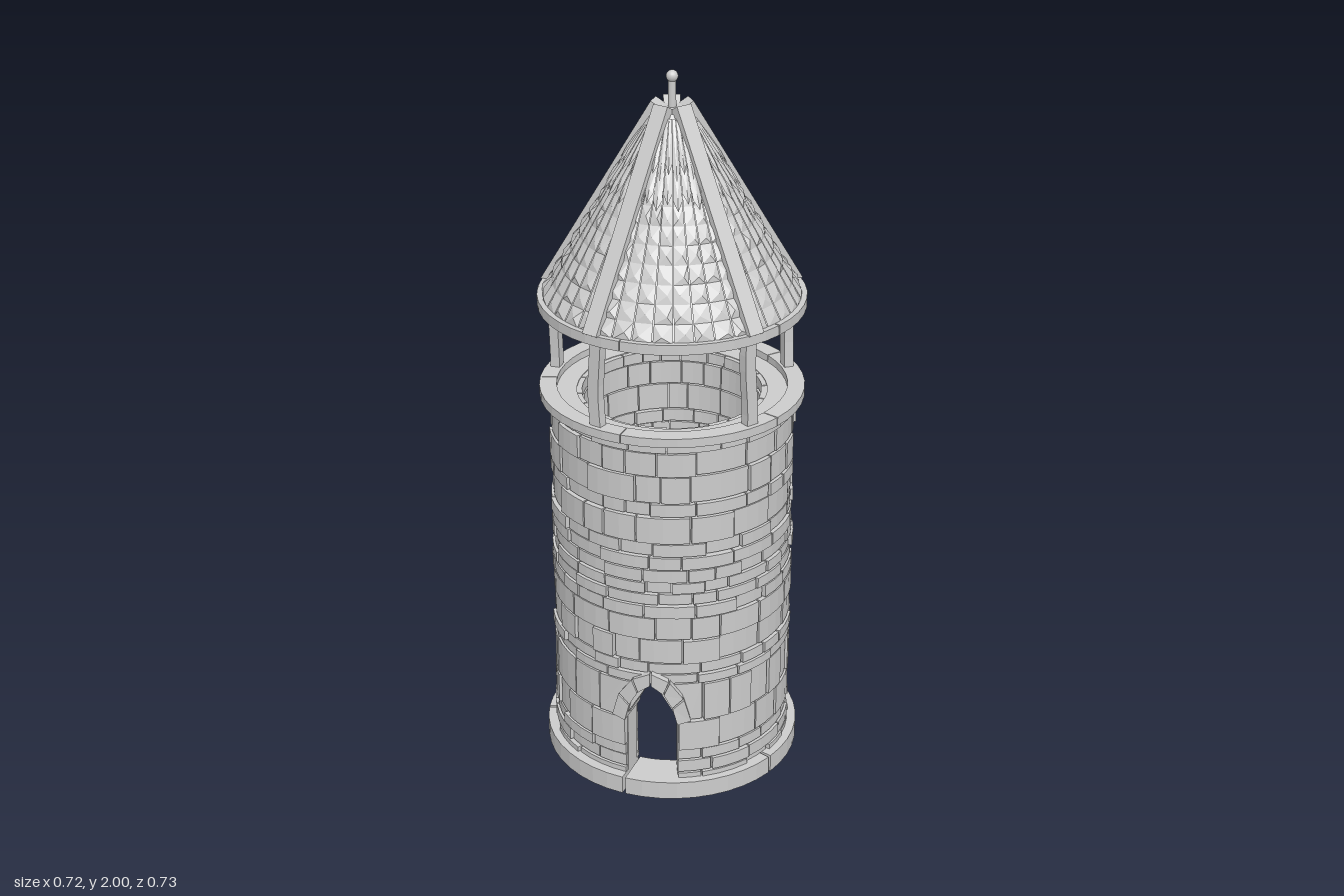
import * as THREE from 'three';
import { mergeGeometries } from 'three/addons/utils/BufferGeometryUtils.js';

const TAU = Math.PI * 2;
const DOOR = -0.12; // angle of the doorway, measured from +z towards +x
const POSTS = Array.from({ length: 5 }, (_, i) => THREE.MathUtils.degToRad(183.5 - 72 * i));
const stone = new THREE.MeshStandardMaterial({ color: 0xcccccc, flatShading: true });
const shell = new THREE.MeshStandardMaterial({ color: 0xcccccc, flatShading: true, side: THREE.DoubleSide });
const smooth = new THREE.MeshStandardMaterial({ color: 0xcccccc });

let seed = 7;
const rand = (a, b) => {
  seed = (seed * 16807) % 2147483647;
  return a + (b - a) * (seed / 2147483647);
};
const polar = (r, a, y) => [r * Math.sin(a), y, r * Math.cos(a)];

function named(name, geometry, material = stone) {
  const m = new THREE.Mesh(geometry, material);
  m.name = name;
  return m;
}

function fromFaces(pos, index) {
  const g = new THREE.BufferGeometry();
  g.setAttribute('position', new THREE.Float32BufferAttribute(pos, 3));
  g.setIndex(index);
  g.computeVertexNormals();
  return g;
}

// Curved block; each end is an angle, or a slanted end {b: bottom, t: top}
function arcBlock(r0, r1, y0, y1, start, end) {
  const s = start.b === undefined ? { b: start, t: start } : start;
  const e = end.b === undefined ? { b: end, t: end } : end;
  const n = Math.max(1, Math.ceil((e.b - s.b) / 0.14));
  const pos = [], idx = [];
  for (let i = 0; i <= n; i++) {
    const b = s.b + ((e.b - s.b) * i) / n, t = s.t + ((e.t - s.t) * i) / n;
    pos.push(...polar(r0, b, y0), ...polar(r1, b, y0), ...polar(r1, t, y1), ...polar(r0, t, y1));
  }
  for (let i = 0; i < n; i++) {
    for (let j = 0; j < 4; j++) {
      const k = (j + 1) % 4, A = i * 4 + j, B = A + 4, C = i * 4 + 4 + k, D = i * 4 + k;
      idx.push(A, B, C, A, C, D);
    }
  }
  const q = n * 4;
  idx.push(0, 1, 2, 0, 2, 3, q, q + 2, q + 1, q, q + 3, q + 2);
  return fromFaces(pos, idx);
}

// Ring of five curved lengths with narrow joints
function segmentedRing(name, r0, r1, y0, y1, gap) {
  const parts = [];
  for (let i = 0; i < 5; i++) {
    const a = THREE.MathUtils.degToRad(197 + 72 * i);
    parts.push(arcBlock(r0, r1, y0, y1, a + gap, a + TAU / 5 - gap));
  }
  return named(name, mergeGeometries(parts));
}

// Half angle of the doorway at a given height
const doorHalf = (y) => (y < 0.245 ? 0.22 : Math.max(0, (0.22 * (0.37 - y)) / 0.13));

function buildWall() {
  const wall = new THREE.Group();
  wall.name = 'towerWall';
  const rows = [0.05, 0.07, 0.11, 0.145, 0.24, 0.36, 0.39, 0.425, 0.5, 0.57, 0.61, 0.645,
    0.68, 0.72, 0.76, 0.8, 0.88, 0.92, 1.0, 1.07, 1.105];
  const core = [];
  for (let i = 0; i + 1 < rows.length; i++) {
    const y0 = rows[i], y1 = rows[i + 1], hb = doorHalf(y0), ht = doorHalf(y1);
    const shift = hb > 0 ? DOOR : rand(0, TAU);
    const start = { b: shift + hb, t: shift + ht };
    const end = { b: shift + TAU - hb, t: shift + TAU - ht };
    core.push(arcBlock(0.26, 0.321, y0, y1, start, end));
    // random stone lengths around the course
    const cuts = [start];
    for (let a = start.b + rand(0.2, 0.45); a < end.b - 0.2; a += rand(0.2, 0.45)) cuts.push({ b: a, t: a });
    cuts.push(end);
    const parts = [];
    for (let k = 0; k + 1 < cuts.length; k++) {
      const g = 0.007, c = cuts[k], d = cuts[k + 1];
      parts.push(arcBlock(rand(0.242, 0.252), rand(0.329, 0.341), y0 + 0.002, y1 - 0.002,
        { b: c.b + g, t: c.t + g }, { b: d.b - g, t: d.t - g }));
    }
    wall.add(named('stoneCourse', mergeGeometries(parts)));
  }
  wall.add(named('mortarCore', mergeGeometries(core)));
  return wall;
}

// Pointed door arch of wedge stones, three to a side
function buildArch() {
  const inner = [[0.215, 0.235], [0.175, 0.29], [0.105, 0.335], [0, 0.362]];
  const outer = [[0.325, 0.245], [0.265, 0.32], [0.15, 0.375], [0, 0.4]];
  const parts = [];
  for (const side of [-1, 1]) {
    for (let i = 0; i < 3; i++) {
      const mix = (p, q, t) => [p[0] + (q[0] - p[0]) * t, p[1] + (q[1] - p[1]) * t];
      const ring = [mix(inner[i], inner[i + 1], 0.04), mix(outer[i], outer[i + 1], 0.04),
        mix(outer[i], outer[i + 1], 0.96), mix(inner[i], inner[i + 1], 0.96)];
      if (side > 0) ring.reverse();
      const pos = [], idx = [0, 1, 2, 0, 2, 3, 4, 6, 5, 4, 7, 6];
      for (const r of [0.24, 0.35]) for (const [a, y] of ring) pos.push(...polar(r, DOOR + side * a, y));
      for (let j = 0; j < 4; j++) {
        const k = (j + 1) % 4;
        idx.push(j, j + 4, k + 4, j, k + 4, k);
      }
      parts.push(fromFaces(pos, idx));
    }
  }
  return named('doorArch', mergeGeometries(parts), shell);
}

// Point on the roof slope: t = 0 at the eaves, 1 at the top, lifted outwards
const roofPoint = (a, t, lift) => polar(0.345 - 0.3 * t + lift * 0.86, a, 1.385 + 0.51 * t + lift * 0.51);

function buildRoof() {
  const roof = new THREE.Group();
  roof.name = 'roof';
  const lining = new THREE.CylinderGeometry(0.043, 0.343, 0.51, 40, 1, true);
  lining.translate(0, 1.64, 0);
  roof.add(named('roofLining', lining, shell));

  const cols = 40, rows = 8, top = 0.68;
  const tile = [], tips = [];
  const addTile = (pts) => { // faceted tile around its raised middle, pts[0]
    const idx = [];
    for (let j = 1; j < pts.length; j++) idx.push(0, j, (j % (pts.length - 1)) + 1);
    return fromFaces(pts.flat(), idx);
  };
  for (let c = 0; c < cols; c++) {
    const w = TAU / cols, a0 = POSTS[0] + c * w + 0.004, a1 = POSTS[0] + (c + 1) * w - 0.004, am = (a0 + a1) / 2;
    // lower slope: columns of shallow pyramids
    for (let r = 0; r < rows; r++) {
      const t0 = (r * top) / rows, t1 = ((r + 1) * top) / rows;
      const bump = rand(0.007, 0.013) * (1 - 0.4 * t0);
      tile.push(addTile([roofPoint(am + rand(-0.2, 0.2) * w, t0 + (t1 - t0) * rand(0.25, 0.5), bump),
        roofPoint(a0, t0, 0.003), roofPoint(a1, t0, 0.003), roofPoint(a1, t1, 0.003), roofPoint(a0, t1, 0.003)]));
    }
    // upper slope: long shingles with pointed, lifted lower ends
    for (const [t0, t1] of [[0.57 + 0.03 * (c % 2), 0.78], [0.7 + 0.03 * (c % 2), 0.98]]) {
      tips.push(addTile([roofPoint(am, t0 + 0.06, 0.012), roofPoint(am, t0, 0.01), roofPoint(a1, t0 + 0.05, 0.008),
        roofPoint(a1, t1, 0.003), roofPoint(a0, t1, 0.003), roofPoint(a0, t0 + 0.05, 0.008)]));
    }
  }
  roof.add(named('roofTiles', mergeGeometries(tile), shell), named('upperShingles', mergeGeometries(tips), shell));

  // hip beams
  for (const a of POSTS) {
    const arm = new THREE.Group();
    arm.name = 'hipBeam';
    arm.rotation.y = a;
    const beam = named('beam', new THREE.BoxGeometry(0.045, 0.03, 0.615));
    beam.position.set(0, 1.647, 0.196);
    beam.rotation.x = Math.atan2(0.52, 0.31);
    arm.add(beam);
    roof.add(arm);
  }
  // five-sided cap and finial
  const cap = named('roofCap', new THREE.CylinderGeometry(0.042, 0.05, 0.03, 5));
  cap.position.y = 1.888;
  cap.rotation.y = POSTS[0];
  const pole = named('finialPole', new THREE.CylinderGeometry(0.01, 0.011, 0.1, 16), smooth);
  pole.position.y = 1.94;
  const ball = named('finialBall', new THREE.SphereGeometry(0.016, 16, 12), smooth);
  ball.position.y = 1.984;
  roof.add(cap, pole, ball);
  return roof;
}

// Slightly crooked timber posts
function buildPosts() {
  const posts = new THREE.Group();
  posts.name = 'posts';
  POSTS.forEach((a, i) => {
    const g = new THREE.BoxGeometry(0.034, 0.26, 0.026, 1, 6, 1);
    const p = g.attributes.position;
    for (let v = 0; v < p.count; v++) {
      p.setX(v, p.getX(v) + 0.005 * Math.sin(p.getY(v) * 18 + i * 1.7));
    }
    g.translate(0, 1.24, 0.335);
    const post = named('post', g);
    post.rotation.y = a;
    posts.add(post);
  });
  return posts;
}

export function createModel() {
  const tower = new THREE.Group();
  tower.name = 'roundTower';
  tower.add(
    segmentedRing('baseRing', 0.25, 0.362, 0, 0.053, 0.012),
    buildWall(),
    buildArch(),
    segmentedRing('parapetRing', 0.315, 0.362, 1.1, 1.125, 0.004),
    buildPosts(),
    segmentedRing('eavesRing', 0.315, 0.362, 1.362, 1.39, 0.004),
    buildRoof(),
  );
  return tower;
}
